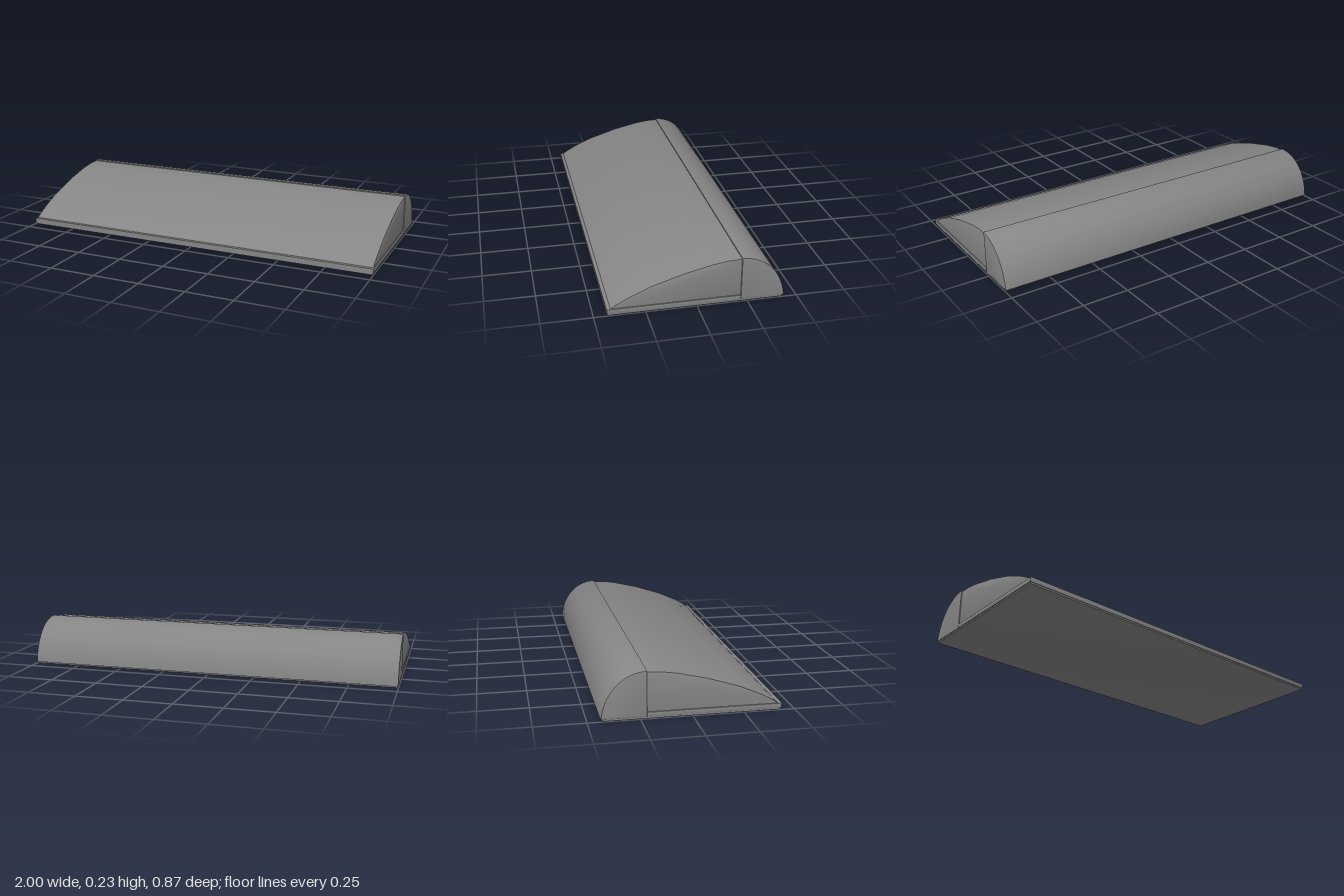
import * as THREE from 'three';
import { toCreasedNormals } from 'three/addons/utils/BufferGeometryUtils.js';

const material = new THREE.MeshStandardMaterial({ color: 0x868686 });

// Extrudes a (z, y) side profile across the width, centred on x = 0, with softened end edges.
function across(name, shape, width, bevel) {
  const depth = width - 2 * bevel;
  const geometry = new THREE.ExtrudeGeometry(shape, {
    depth, curveSegments: 24, bevelSegments: 2,
    bevelThickness: bevel, bevelSize: bevel, bevelOffset: -bevel,
  });
  geometry.translate(0, 0, -depth / 2);
  geometry.rotateY(-Math.PI / 2);
  const mesh = new THREE.Mesh(toCreasedNormals(geometry, Math.PI / 7), material);
  mesh.name = name;
  return mesh;
}

function polygon(points) {
  return new THREE.Shape(points.map(p => new THREE.Vector2(...p)));
}

function rectangle(z0, z1, y0, y1) {
  return polygon([[z0, y0], [z1, y0], [z1, y1], [z0, y1]]);
}

export function createModel() {
  const model = new THREE.Group();
  model.name = 'curvedHousing';

  // Thin plate underneath, and the front tray with its low lip
  model.add(across('basePlate', rectangle(-0.428, 0.433, 0, 0.009), 1.992, 0.002));
  model.add(across('frontTray', rectangle(-0.218, 0.437, 0.008, 0.033), 2, 0.003));

  // Long sloping cover rising from the lip to the ridge
  const cover = polygon([[0.42, 0.032], [0.4, 0.047], [0.34, 0.08], [0.23, 0.129], [0.07, 0.18],
    [-0.08, 0.215], [-0.16, 0.226], [-0.218, 0.228], [-0.218, 0.032]]);
  model.add(across('slopingCover', cover, 1.99, 0.002));

  // Rounded rear part, standing slightly proud of the cover
  const rear = new THREE.Shape();
  rear.moveTo(-0.218, 0.008);
  rear.lineTo(-0.218, 0.234);
  rear.bezierCurveTo(-0.33, 0.234, -0.423, 0.143, -0.437, 0.008);
  rear.closePath();
  model.add(across('roundedRear', rear, 2, 0.006));

  return model;
}
